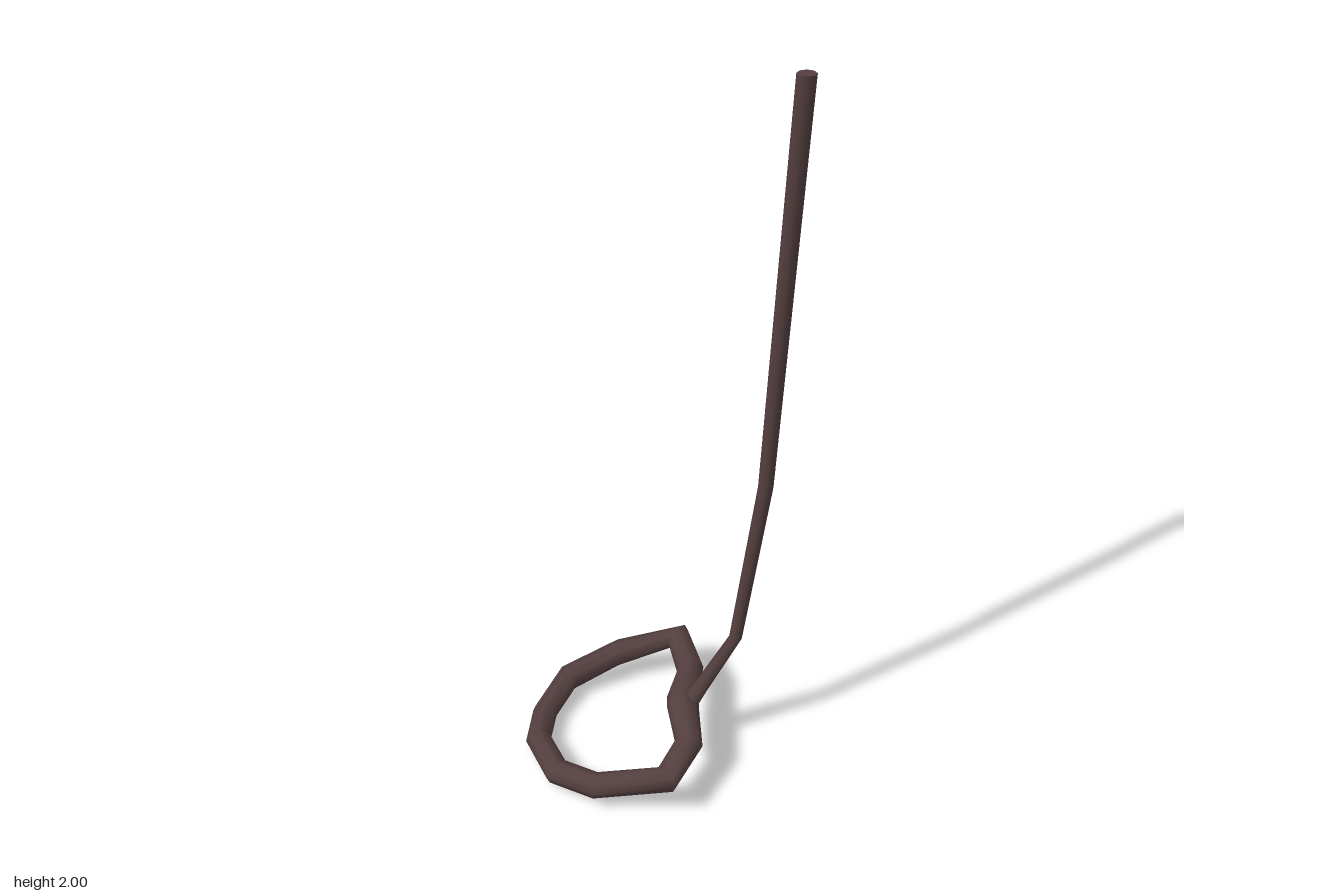
import * as THREE from 'three';

const SIDES = 8;

// Skins elliptical cross-sections {c: centre, a, b: half axes}, with a x b along the path.
function loft(sections, closed, material) {
  const pos = [], idx = [], n = sections.length;
  for (const { c, a, b } of sections) {
    for (let j = 0; j < SIDES; j++) {
      const t = (j / SIDES) * Math.PI * 2;
      pos.push(...c.clone().addScaledVector(a, Math.cos(t)).addScaledVector(b, Math.sin(t)).toArray());
    }
  }
  for (let i = 0; i < (closed ? n : n - 1); i++) {
    for (let j = 0; j < SIDES; j++) {
      const k = (j + 1) % SIDES, p = i * SIDES, q = ((i + 1) % n) * SIDES;
      idx.push(p + j, p + k, q + j, p + k, q + k, q + j);
    }
  }
  const g = new THREE.BufferGeometry();
  g.setAttribute('position', new THREE.Float32BufferAttribute(pos, 3));
  g.setIndex(idx);
  g.computeVertexNormals();
  return new THREE.Mesh(g, material);
}

export function createModel() {
  const group = new THREE.Group();
  const metal = new THREE.MeshStandardMaterial({ color: 0x543f3f });
  metal.name = 'dark brown metal';

  // D-shaped loop: outer x, z, inner x, z, height of the centre line
  const loopPoints = [
    [0.083, -0.302, 0.03, -0.245, 0.126],
    [-0.113, -0.285, -0.105, -0.212, 0.086],
    [-0.27, -0.205, -0.22, -0.155, 0.052],
    [-0.335, -0.065, -0.27, -0.05, 0.037],
    [-0.347, 0.052, -0.28, 0.035, 0.035],
    [-0.283, 0.2, -0.23, 0.15, 0.048],
    [-0.16, 0.285, -0.145, 0.217, 0.076],
    [0.057, 0.3, 0.005, 0.243, 0.122],
    [0.125, 0.163, 0.052, 0.145, 0.135],
    [0.115, 0.04, 0.03, 0.035, 0.155],
    [0.115, -0.01, 0.03, 0, 0.155],
    [0.127, -0.14, 0.055, -0.12, 0.135],
  ];
  const loop = loft(loopPoints.map(([ox, oz, ix, iz, y]) => ({
    c: new THREE.Vector3((ox + ix) / 2, y, (oz + iz) / 2),
    a: new THREE.Vector3((ix - ox) / 2, 0, (iz - oz) / 2),
    b: new THREE.Vector3(0, 0.034, 0),
  })), true, metal);
  loop.name = 'loop';
  group.add(loop);

  // Bent shaft: x, y, half width in z, half width in x, lean of the section
  const shaftPoints = [
    [0.085, 0.14, 0.027, 0.024, -0.45],
    [0.125, 0.22, 0.024, 0.019, -0.45],
    [0.207, 0.385, 0.017, 0.017, -0.28],
    [0.27, 0.88, 0.017, 0.019, -0.09],
    [0.323, 2, 0.017, 0.023, 0],
  ];
  const shaft = loft(shaftPoints.map(([x, y, rz, rx, lean]) => ({
    c: new THREE.Vector3(x, y, 0.016),
    a: new THREE.Vector3(0, 0, rz),
    b: new THREE.Vector3(rx * Math.cos(lean), rx * Math.sin(lean), 0),
  })), false, metal);
  shaft.name = 'shaft';
  group.add(shaft);

  // Flat end of the shaft
  const cap = new THREE.Mesh(new THREE.CircleGeometry(1, SIDES), metal);
  cap.name = 'shaftEnd';
  cap.scale.set(0.023, 0.017, 1);
  cap.rotation.x = -Math.PI / 2;
  cap.position.set(0.323, 2, 0.016);
  group.add(cap);

  return group;
}
